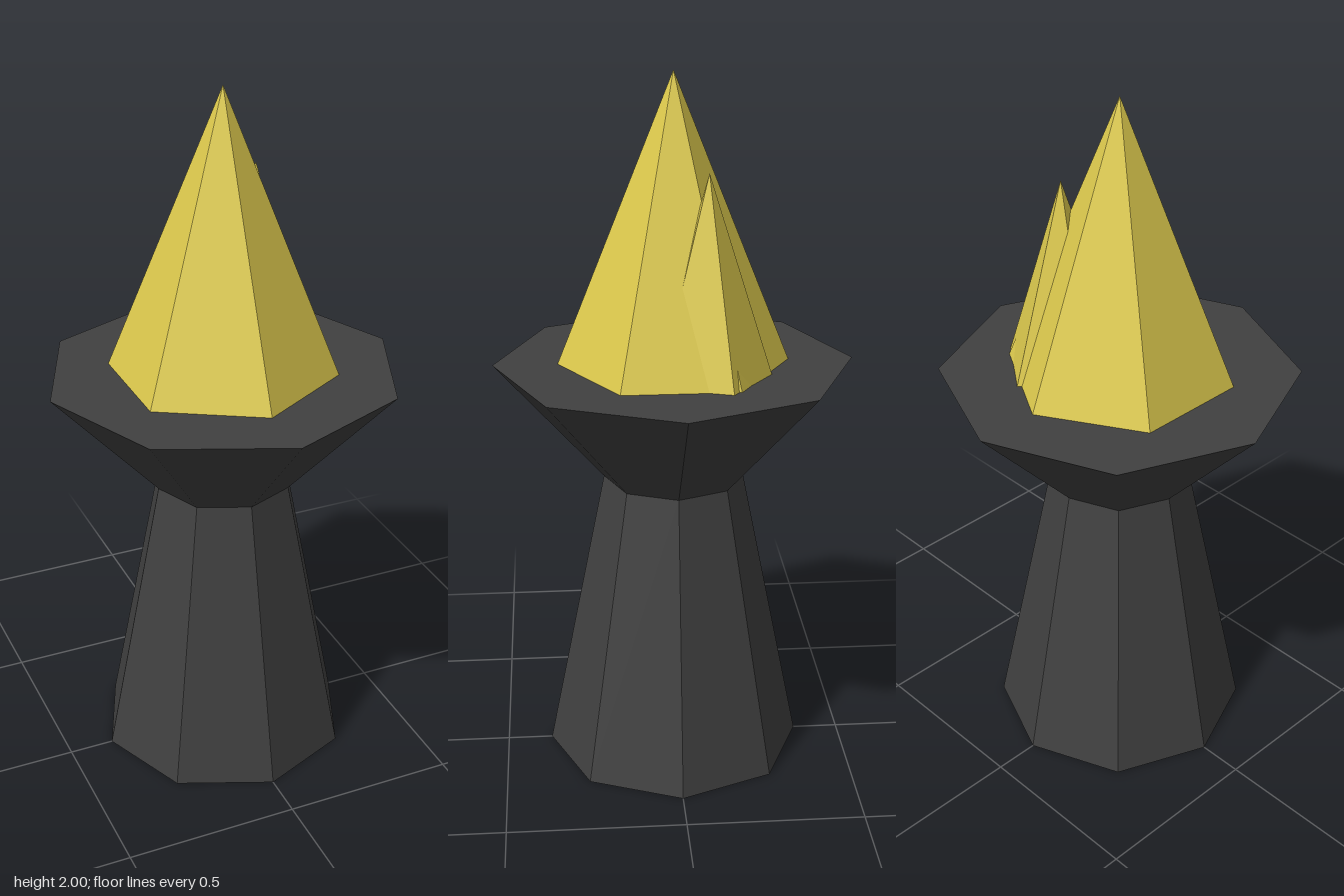
import * as THREE from 'three';

export function createModel() {
  const group = new THREE.Group();
  const iron = new THREE.MeshStandardMaterial({ name: 'darkIron', color: 0x404040, flatShading: true });
  const flame = new THREE.MeshStandardMaterial({ name: 'flameYellow', color: 0xdcc94d, flatShading: true });

  const stemTop = 0.85, bowlTop = 1.19;

  // Faceted upright frustum or cone between two heights
  function frustum(name, material, sides, rBottom, rTop, y0, y1, x = 0, z = 0, turn = 0) {
    const geometry = rTop === 0
      ? new THREE.ConeGeometry(rBottom, y1 - y0, sides)
      : new THREE.CylinderGeometry(rTop, rBottom, y1 - y0, sides);
    const mesh = new THREE.Mesh(geometry, material);
    mesh.name = name;
    mesh.position.set(x, (y0 + y1) / 2, z);
    mesh.rotation.y = turn;
    group.add(mesh);
  }

  // Tapered octagonal stem and flared bowl
  frustum('stem', iron, 8, 0.37, 0.2, 0, stemTop);
  frustum('bowl', iron, 8, 0.2, 0.507, stemTop, bowlTop);

  // Six-sided main flame with a smaller five-sided one poking out of its back left
  frustum('mainFlame', flame, 6, 0.325, 0, bowlTop, 2);
  frustum('smallFlame', flame, 5, 0.176, 0, bowlTop, 1.75, 0.135, -0.085, Math.PI);

  return group;
}
